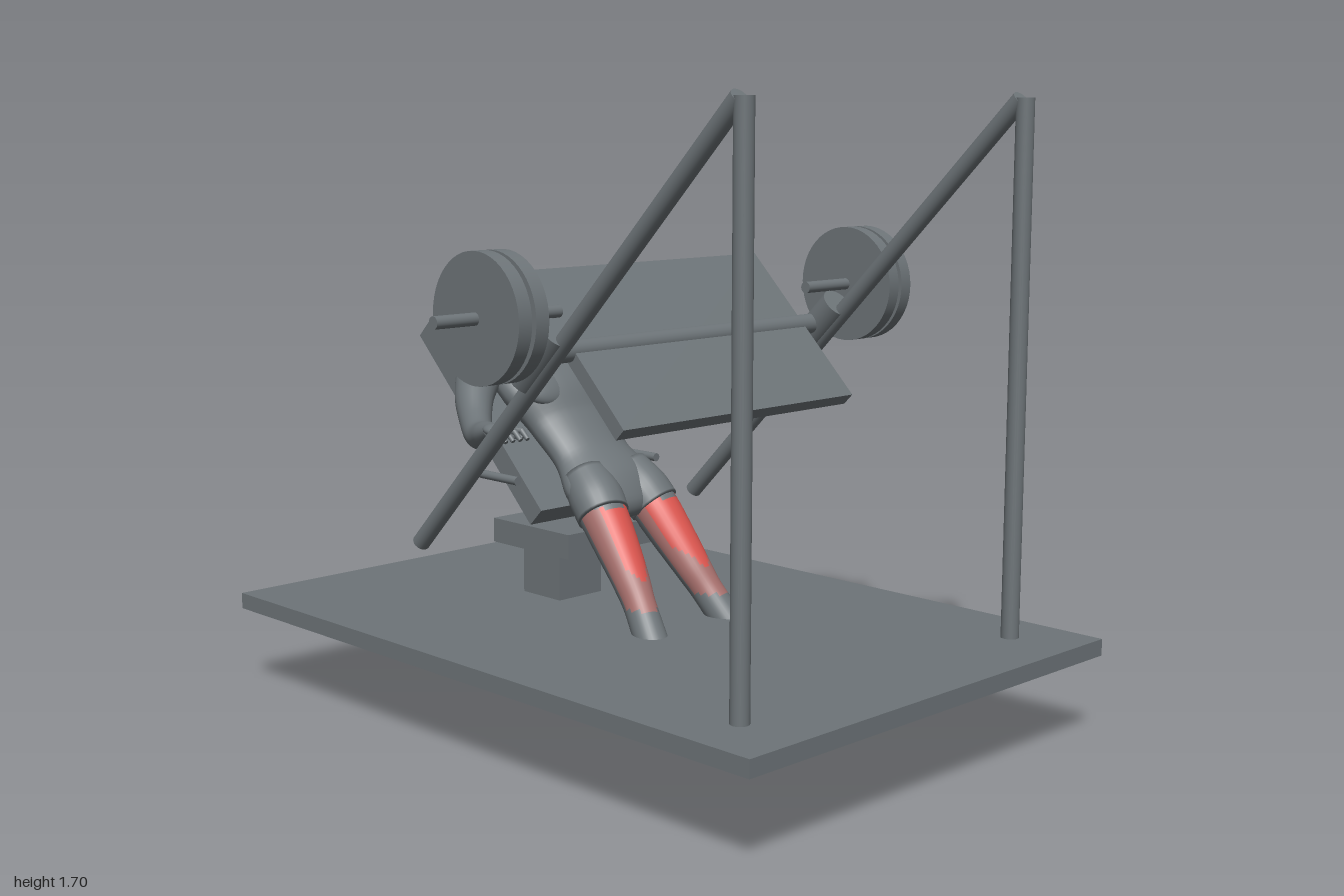
import * as THREE from 'three';

const mat = (name, color) => Object.assign(new THREE.MeshStandardMaterial({ color }), { name });
const V = (x, y, z) => new THREE.Vector3(x, y, z);

export function createModel() {
  const grey = mat('slate grey', 0x6d7478);
  const red = mat('muscle red', 0xdb554e);
  const faded = mat('faded red', 0xa66f6c);
  const root = new THREE.Group();
  root.name = 'legPressWithFigure';

  const add = (name, geo, material = grey, parent = root) => {
    const m = new THREE.Mesh(geo, material);
    m.name = name;
    parent.add(m);
    return m;
  };
  const box = (name, w, h, d, x, y, z, tilt = 0) => {
    const m = add(name, new THREE.BoxGeometry(w, h, d));
    m.position.set(x, y, z);
    m.rotation.x = tilt;
    return m;
  };
  // Straight round bar between two points
  const rod = (name, p, q, r, r2 = r, seg = 24, parent = root) => {
    const d = q.clone().sub(p);
    const m = add(name, new THREE.CylinderGeometry(r2, r, d.length(), seg), grey, parent);
    m.position.copy(p).addScaledVector(d, 0.5);
    m.quaternion.setFromUnitVectors(V(0, 1, 0), d.normalize());
    return m;
  };
  const blob = (name, x, y, z, a, b, c, parent, tilt = 0) => {
    const m = add(name, new THREE.SphereGeometry(1, 28, 18), grey, parent);
    m.position.set(x, y, z);
    m.scale.set(a, b, c);
    m.rotation.x = tilt;
    return m;
  };
  // Smooth loft through elliptical sections [x, y, z, halfWidth, halfDepth];
  // pick(angle, y) chooses the material slot of each face
  const loft = (name, sections, parent, { side = 1, seg = 24, materials = grey, pick } = {}) => {
    const path = new THREE.CatmullRomCurve3(sections.map(s => V(s[0] * side, s[1], s[2])));
    const size = new THREE.CatmullRomCurve3(sections.map(s => V(s[3], s[4], 0)));
    const rows = (sections.length - 1) * 7;
    const pos = [], buckets = [[], [], []];
    for (let i = 0; i <= rows; i++) {
      const t = i / rows, c = path.getPoint(t), r = size.getPoint(t), T = path.getTangent(t);
      const U = V(1, 0, 0).addScaledVector(T, -T.x).normalize();
      const W = T.clone().cross(U);
      for (let j = 0; j < seg; j++) {
        const a = j / seg * Math.PI * 2;
        const p = c.clone().addScaledVector(U, Math.cos(a) * r.x).addScaledVector(W, Math.sin(a) * r.y);
        pos.push(p.x, p.y, p.z);
      }
    }
    for (let i = 0; i < rows; i++) for (let j = 0; j < seg; j++) {
      const k = (j + 1) % seg, a = i * seg + j, b = i * seg + k, c = b + seg, d = a + seg;
      const y = (pos[a * 3 + 1] + pos[c * 3 + 1]) / 2;
      buckets[pick ? pick((j + 0.5) / seg * Math.PI * 2, y) : 0].push(a, b, c, a, c, d);
    }
    const end = rows * seg;
    for (let j = 1; j < seg - 1; j++) buckets[0].push(0, j + 1, j, end, end + j, end + j + 1);
    const g = new THREE.BufferGeometry();
    g.setAttribute('position', new THREE.Float32BufferAttribute(pos, 3));
    g.setIndex(buckets.flat());
    if (pick) {
      let start = 0;
      buckets.forEach((b, i) => { g.addGroup(start, b.length, i); start += b.length; });
    }
    g.computeVertexNormals();
    return add(name, g, materials, parent);
  };

  // Floor plate, seat and backrest
  box('basePlate', 1.36, 0.045, 2, 0, 0.27, 0);
  box('seatPedestal', 0.16, 0.21, 0.155, 0, 0.395, -0.373);
  box('seat', 0.43, 0.068, 0.315, 0, 0.5, -0.262);
  box('backrest', 0.43, 0.686, 0.065, 0, 0.804, -0.481, -Math.PI / 4);

  // Sliding footplate with its axle
  box('footplate', 0.86, 0.52, 0.04, 0, 1.069, 0.145, -Math.PI / 4);
  rod('axle', V(-0.58, 1.075, 0.142), V(0.58, 1.075, 0.142), 0.028);

  for (const s of [1, -1]) {
    // Frame
    rod('post', V(s * 0.52, 0.29, 0.82), V(s * 0.52, 1.7, 0.82), 0.024);
    rod('rail', V(s * 0.52, 1.697, 0.808), V(s * 0.52, 0.522, -0.355), 0.024);
    rod('seatHandle', V(s * 0.264, 0.668, -0.41), V(s * 0.264, 0.668, -0.255), 0.012);
    // Carriage and weights
    rod('carriageCollar', V(s * 0.52, 1.005, 0.08), V(s * 0.52, 1.135, 0.21), 0.046);
    rod('weightBar', V(s * 0.46, 1.178, 0.142), V(s * 0.85, 1.178, 0.142), 0.016);
    for (const x of [0.652, 0.705])
      rod('weightDisc', V(s * (x - 0.02), 1.178, 0.142), V(s * (x + 0.02), 1.178, 0.142), 0.162, 0.162, 48);
  }

  // Reclining figure
  const man = new THREE.Group();
  man.name = 'figure';
  root.add(man);
  loft('torso', [
    [0, 0.55, -0.11, 0.06, 0.03],
    [0, 0.58, -0.12, 0.125, 0.06],
    [0, 0.635, -0.165, 0.16, 0.074],
    [0, 0.71, -0.245, 0.132, 0.066],
    [0, 0.795, -0.325, 0.15, 0.074],
    [0, 0.88, -0.39, 0.19, 0.085],
    [0, 0.94, -0.46, 0.195, 0.074],
    [0, 0.98, -0.51, 0.12, 0.055],
    [0, 1.01, -0.555, 0.056, 0.05],
    [0, 1.08, -0.62, 0.05, 0.05],
  ], man, { seg: 32 });

  // Head
  blob('skull', 0, 1.122, -0.662, 0.069, 0.08, 0.088, man, -0.25);
  blob('face', 0, 1.095, -0.6, 0.053, 0.068, 0.062, man, -0.25);
  blob('chin', 0, 1.052, -0.567, 0.026, 0.02, 0.024, man);
  blob('brow', 0, 1.128, -0.56, 0.04, 0.013, 0.018, man);
  blob('nose', 0, 1.1, -0.536, 0.011, 0.02, 0.017, man, -0.3);
  blob('lips', 0, 1.072, -0.546, 0.02, 0.008, 0.01, man);

  for (const s of [1, -1]) {
    blob('ear', s * 0.068, 1.1, -0.648, 0.009, 0.024, 0.016, man, -0.2);
    blob('chestMuscle', s * 0.085, 0.905, -0.35, 0.088, 0.068, 0.034, man, -Math.PI / 4);

    // Arm, hand and fingers
    loft('arm', [
      [0.13, 0.95, -0.49, 0.04, 0.045],
      [0.2, 0.94, -0.48, 0.066, 0.063],
      [0.265, 0.89, -0.435, 0.056, 0.056],
      [0.33, 0.825, -0.35, 0.043, 0.045],
      [0.37, 0.805, -0.285, 0.04, 0.039],
      [0.41, 0.822, -0.21, 0.036, 0.034],
      [0.45, 0.845, -0.13, 0.022, 0.018],
    ], man, { side: s });
    blob('palm', s * 0.463, 0.85, -0.1, 0.033, 0.017, 0.042, man, 0.1);
    for (let f = 0; f < 4; f++) {
      const x = 0.44 + f * 0.016, tip = 0.425 + f * 0.024;
      rod('finger', V(s * x, 0.853, -0.08), V(s * tip, 0.852, -0.045), 0.009, 0.008, 10, man);
      rod('fingerTip', V(s * tip, 0.853, -0.047), V(s * tip, 0.832, -0.022), 0.008, 0.006, 10, man);
    }
    rod('thumb', V(s * 0.44, 0.845, -0.11), V(s * 0.41, 0.828, -0.06), 0.011, 0.007, 10, man);

    // Leg with the highlighted thigh front
    loft('leg', [
      [0.085, 0.64, -0.16, 0.07, 0.066],
      [0.097, 0.57, -0.09, 0.068, 0.066],
      [0.106, 0.5, -0.03, 0.062, 0.06],
      [0.118, 0.415, 0.04, 0.052, 0.05],
      [0.13, 0.35, 0.09, 0.044, 0.045],
      [0.15, 0.265, 0.158, 0.046, 0.045],
      [0.168, 0.18, 0.23, 0.036, 0.034],
      [0.18, 0.1, 0.295, 0.025, 0.026],
      [0.182, 0.045, 0.333, 0.024, 0.028],
    ], man, {
      side: s, seg: 32, materials: [grey, red, faded],
      pick: (a, y) => {
        const front = Math.sin(a), out = Math.cos(a) * s;
        if (y > 0.605 || y < 0.355 || front < -0.1) return 0;
        return front > 0.3 && out < 0.75 && y > 0.42 + 0.06 * Math.abs(out) ? 1 : 2;
      },
    });
    loft('shortsLeg', [
      [0.08, 0.67, -0.19, 0.066, 0.062],
      [0.09, 0.61, -0.125, 0.077, 0.073],
      [0.098, 0.572, -0.09, 0.074, 0.071],
    ], man, { side: s });

    // Foot and toes
    loft('foot', [
      [0.181, 0.028, 0.318, 0.012, 0.01],
      [0.181, 0.037, 0.333, 0.027, 0.028],
      [0.185, 0.075, 0.375, 0.031, 0.029],
      [0.189, 0.11, 0.425, 0.041, 0.02],
      [0.19, 0.135, 0.46, 0.042, 0.012],
      [0.19, 0.143, 0.468, 0.034, 0.008],
    ], man, { side: s });
    for (let i = 0; i < 5; i++)
      blob('toe', s * (0.157 + i * 0.0165), 0.148 - i * 0.004, 0.474 - i * 0.004,
        i ? 0.008 : 0.012, 0.009, 0.018, man, -0.75);
  }
  return root;
}
